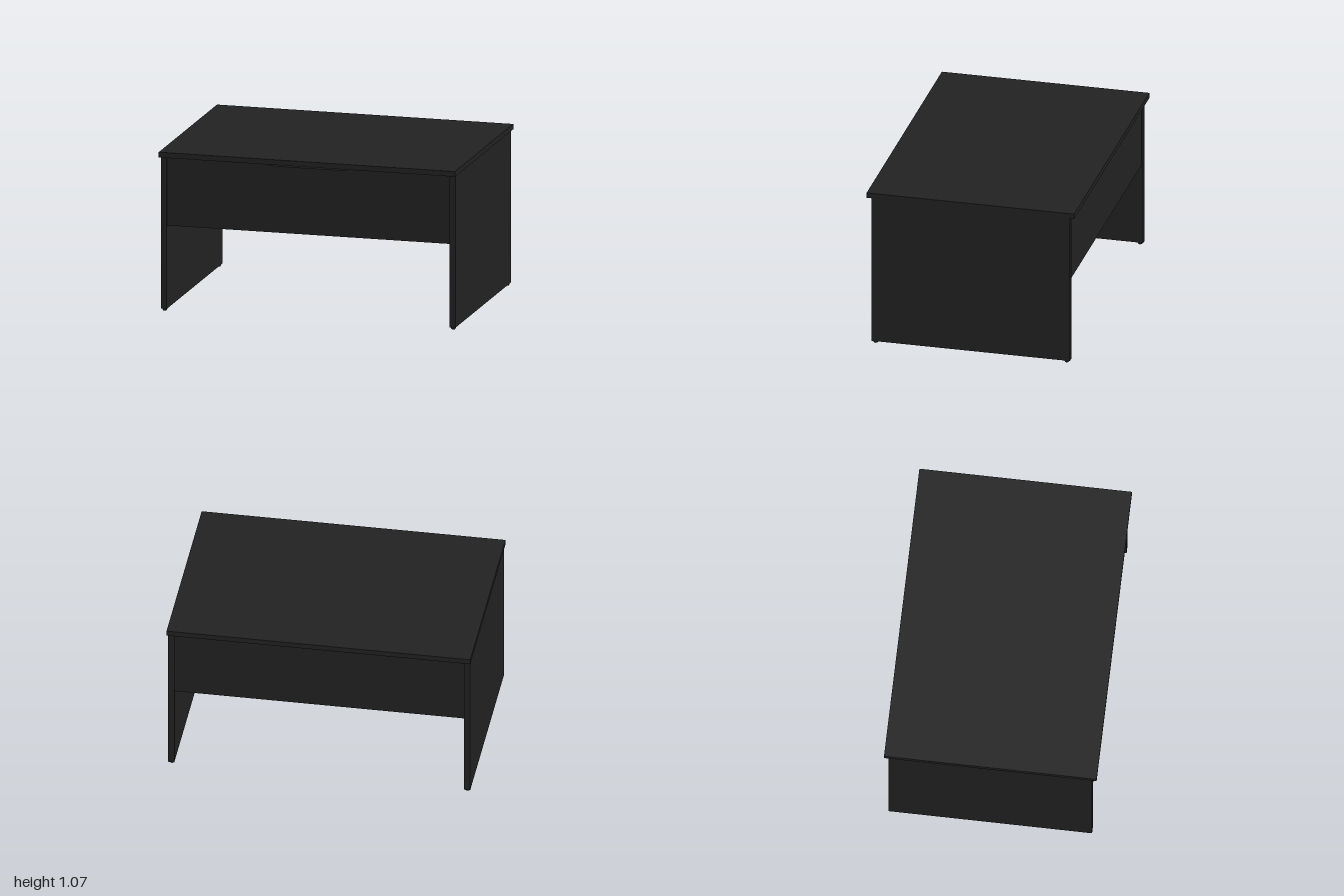
import * as THREE from 'three';

export function createModel() {
  const model = new THREE.Group();
  model.name = 'desk';

  const black = new THREE.MeshStandardMaterial({ color: 0x222222 });
  black.name = 'black laminate';
  const grey = new THREE.MeshStandardMaterial({ color: 0x3a3a3a });
  grey.name = 'grey fitting';

  const add = (name, geometry, x, y, z, material = black) => {
    const mesh = new THREE.Mesh(geometry, material);
    mesh.name = name;
    mesh.position.set(x, y, z);
    model.add(mesh);
    return mesh;
  };

  // Overhanging top board
  add('tabletop', new THREE.BoxGeometry(2, 0.035, 1.39), 0, 1.0475, 0);

  // Case under the top, with a shallow cable dip along its upper edge
  const profile = new THREE.Shape([
    [-0.955, 0.57], [0.955, 0.57], [0.955, 1.026], [0.34, 1.026],
    [0.22, 1.013], [-0.22, 1.013], [-0.34, 1.026], [-0.955, 1.026],
  ].map(([x, y]) => new THREE.Vector2(x, y)));
  const depth = 1.31;
  add('underCase', new THREE.ExtrudeGeometry(profile, { depth, bevelEnabled: false }), 0, 0, -depth / 2);

  // Side panels, each on two small tapered feet
  for (const side of [1, -1]) {
    const label = side > 0 ? 'left' : 'right';
    add(label + 'SidePanel', new THREE.BoxGeometry(0.04, 1.015, 1.33), side * 0.974, 0.5225, 0);
    for (const end of [1, -1]) {
      add(label + (end > 0 ? 'FrontFoot' : 'BackFoot'),
        new THREE.CylinderGeometry(0.019, 0.012, 0.016, 16), side * 0.974, 0.008, end * 0.64);
    }
  }

  // Round cable grommet beneath the case, near the back
  const ring = add('cableGrommet', new THREE.TorusGeometry(0.05, 0.012, 8, 24), -0.85, 0.57, -0.52, grey);
  ring.rotation.x = Math.PI / 2;
  ring.scale.z = 0.5;

  return model;
}
